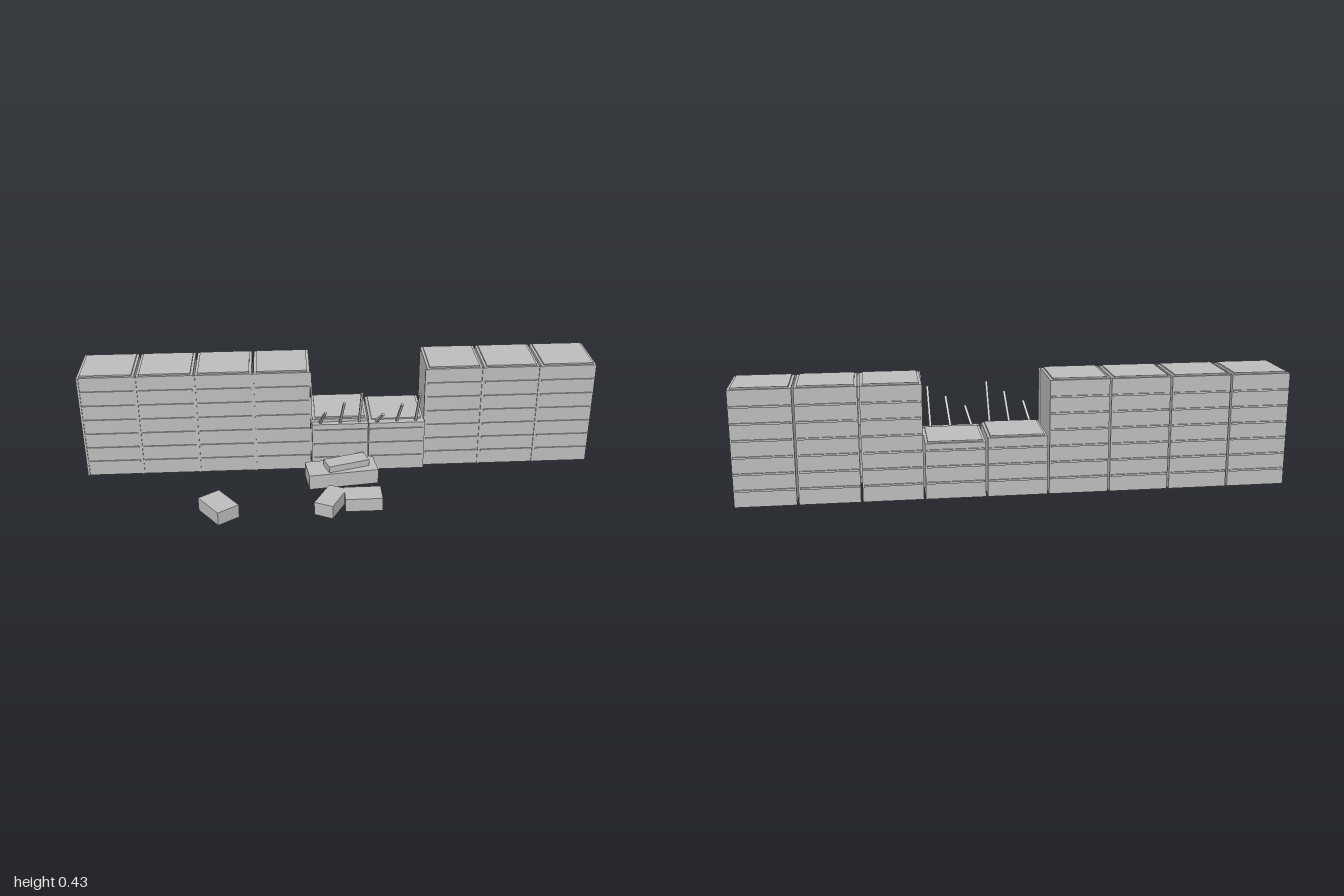
import * as THREE from 'three';

export function createModel() {
  const model = new THREE.Group();
  const concrete = new THREE.MeshStandardMaterial({ color: 0xbcbcbc });
  concrete.name = 'concreteGrey';

  // Box given by its size and the centre of its base
  function box(name, w, h, d, x, y, z, turn = 0, parent = model) {
    const mesh = new THREE.Mesh(new THREE.BoxGeometry(w, h, d), concrete);
    mesh.name = name;
    mesh.position.set(x, y + h / 2, z);
    mesh.rotation.y = turn;
    parent.add(mesh);
    return mesh;
  }

  const width = 0.216, pitch = 0.223, depth = 0.22, midZ = -0.199;
  const back = -0.309, front = -0.089, slabFront = -0.066;

  // Row of nine wall panels, two of them broken off low
  for (let i = 0; i < 9; i++) {
    const panel = new THREE.Group();
    panel.name = 'wallPanel' + (i + 1);
    model.add(panel);
    const x = -1 + width / 2 + i * pitch;
    const broken = i === 4 || i === 5;
    const height = i === 4 ? 0.219 : i === 5 ? 0.206 : 0.422;
    box('panelBody', width, height, depth, x, 0, midZ, 0, panel);
    box('panelCap', width - 0.02, 0.0055, depth - 0.02, x, height, midZ, 0, panel);

    // Thin horizontal ribs on both faces
    for (let k = 1; k <= (broken ? 3 : 6); k++) {
      const y = k * 0.0603 - 0.0035;
      box('backRib', width - 0.01, 0.007, 0.008, x, y, back - 0.001, 0, panel);
      box('frontRib', width - 0.01, 0.007, 0.008, x, y, (broken ? slabFront : front) + 0.001, 0, panel);
    }

    // Upright joint at the panel edge
    if (!broken) box('jointPost', 0.008, 0.422, 0.01, x - width / 2 + (i ? -0.0035 : 0.004), 0, front, 0, panel);

    // Thicker front slab and bent reinforcing rods on the broken panels
    if (broken) {
      box('brokenSlab', width + 0.004, 0.207, 0.024, x, 0, slabFront - 0.012, 0, panel);
      [[-0.08, 0.02, 0.28], [0, 0.013, 0.32], [0.075, 0.006, 0.36]].forEach(([dx, lean, top]) => {
        const a = new THREE.Vector3(x + dx, 0.203, -0.085);
        const b = new THREE.Vector3(x + dx + lean, top - (i === 5 ? 0.012 : 0), -0.021);
        const rod = new THREE.Mesh(new THREE.BoxGeometry(0.009, a.distanceTo(b), 0.009), concrete);
        rod.name = 'bentRod';
        rod.position.copy(a).lerp(b, 0.5);
        rod.quaternion.setFromUnitVectors(new THREE.Vector3(0, 1, 0), b.clone().sub(a).normalize());
        panel.add(rod);
      });
    }
  }
  // Joint at the right side of the gap
  box('gapJointPost', 0.006, 0.422, 0.01, -1 + 4 * pitch - 0.0035, 0, front);

  // Fallen rubble
  box('largeRubble', 0.272, 0.06, 0.111, 0, 0, 0.005, 0.126);
  box('rubbleOnTop', 0.166, 0.026, 0.066, 0.02, 0.06, 0.001, 0.3);
  box('smallRubble', 0.135, 0.053, 0.092, -0.471, 0, 0.227, -0.96);
  box('smallRubble', 0.138, 0.053, 0.075, -0.052, 0, 0.212, 1.1);
  box('smallRubble', 0.14, 0.053, 0.09, 0.07, 0, 0.2);

  return model;
}
